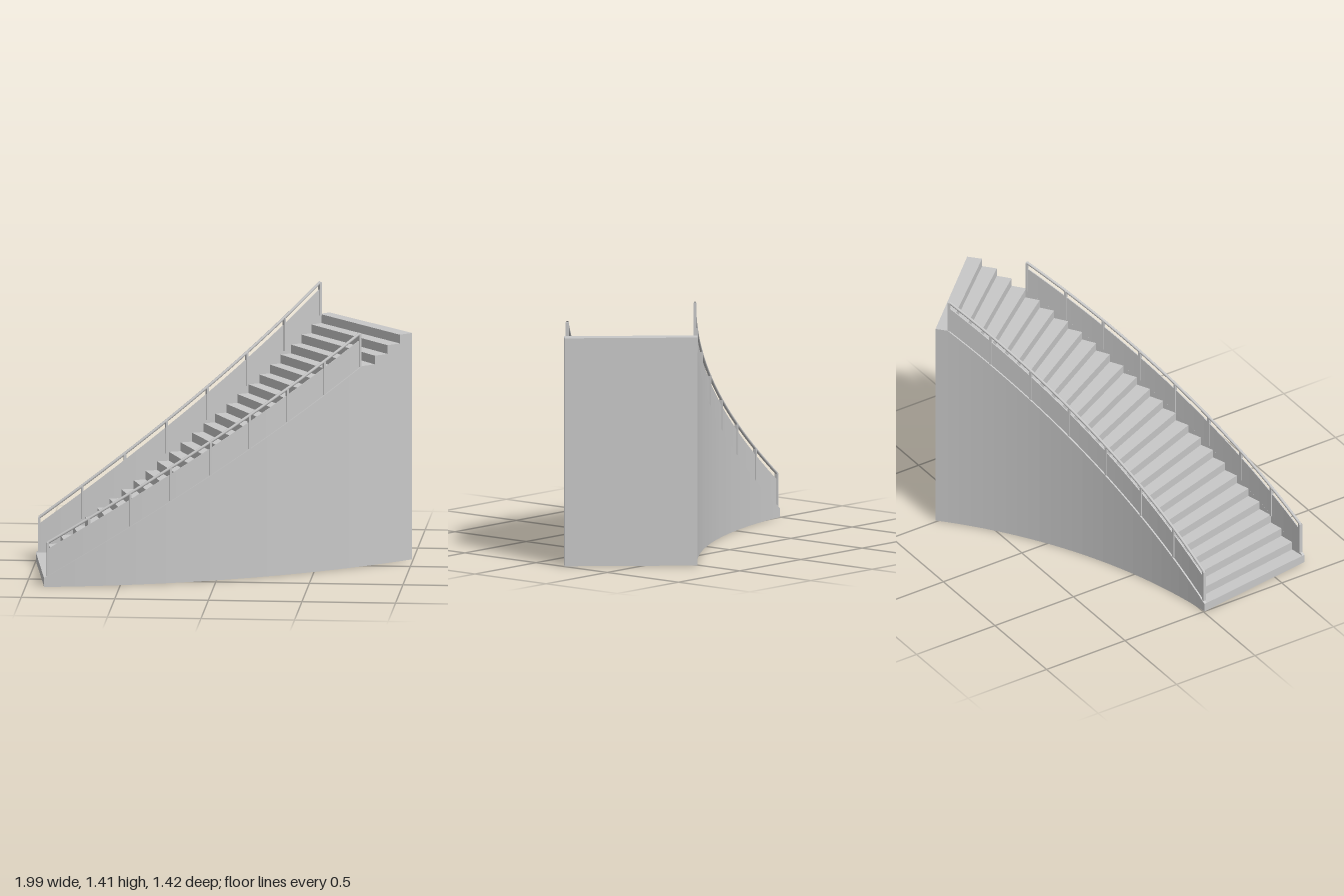
import * as THREE from 'three';

const STEPS = 26, RISE = 1.23 / STEPS;
const R_IN = 2.80, R_OUT = 3.51, WALL = 0.015;
const CX = -1.395, CZ = -2.765;
const START = THREE.MathUtils.degToRad(8.1), TURN = THREE.MathUtils.degToRad(34.8) / STEPS;

// Point at radius r, i steps along the curve, height y
function at(r, i, y) {
  const a = START + i * TURN;
  return new THREE.Vector3(CX + r * Math.sin(a), y, CZ + r * Math.cos(a));
}

// Height of the line through the step nosings
const nosing = (i) => Math.min(i + 1, STEPS) * RISE;

// Faceted surface joining successive rows of points
function loft(rows, closed) {
  const pos = [];
  const quad = (a, b, c, d) => [a, b, c, a, c, d].forEach((p) => pos.push(p.x, p.y, p.z));
  const n = rows[0].length;
  for (let k = 0; k + 1 < rows.length; k++) {
    for (let j = 0; j < (closed ? n : n - 1); j++) {
      const m = (j + 1) % n;
      quad(rows[k][j], rows[k][m], rows[k + 1][m], rows[k + 1][j]);
    }
  }
  if (closed) {
    quad(...rows[0]);
    quad(...rows[rows.length - 1]);
  }
  const g = new THREE.BufferGeometry();
  g.setAttribute('position', new THREE.Float32BufferAttribute(pos, 3));
  g.computeVertexNormals();
  return g;
}

// Rectangular section between two radii and two heights
const section = (r0, r1, i, y0, y1) => [at(r0, i, y0), at(r1, i, y0), at(r1, i, y1), at(r0, i, y1)];

// Evenly spaced values from a to b
const spread = (a, b, n) => Array.from({ length: n + 1 }, (_, k) => a + (b - a) * k / n);

export function createModel() {
  const model = new THREE.Group();
  const grey = new THREE.MeshStandardMaterial({ color: 0xc8c8c8, side: THREE.DoubleSide });
  grey.name = 'grey';
  const add = (parent, name, geometry) => {
    const mesh = new THREE.Mesh(geometry, grey);
    mesh.name = name;
    parent.add(mesh);
    return mesh;
  };

  // Treads, risers and the closing end wall as one folded sheet
  const fold = [[0, 0]];
  for (let k = 1; k <= STEPS; k++) fold.push([k - 1, k * RISE], [k, k * RISE]);
  fold.push([STEPS, 0]);
  add(model, 'steps', loft(fold.map(([i, y]) => [at(R_IN + 0.003, i, y), at(R_OUT - 0.003, i, y)])));

  // Side wall: sloped under the railing, stepped beyond it
  function sideWall(name, r0, r1, railEnd) {
    const rows = spread(0, railEnd, railEnd).map((i) => section(r0, r1, i, 0, nosing(i)));
    for (let k = railEnd + 1; k <= STEPS; k++) {
      rows.push(section(r0, r1, k - 1, 0, k * RISE), section(r0, r1, k, 0, k * RISE));
    }
    add(model, name, loft(rows, true));
  }

  // Railing: panel, handrail and posts
  function railing(name, r, railEnd, bays) {
    const group = new THREE.Group();
    group.name = name;
    const first = 0.25, last = railEnd - 0.1, height = 0.18;
    const line = spread(first, last, 28);
    add(group, 'panel', loft(line.map((i) =>
      section(r - 0.003, r + 0.003, i, nosing(i) - 0.005, nosing(i) + 0.145)), true));
    const path = new THREE.CatmullRomCurve3(line.map((i) => at(r, i, nosing(i) + height)));
    add(group, 'handrail', new THREE.TubeGeometry(path, 56, 0.008, 8));
    for (const i of spread(first, last, bays)) {
      const post = add(group, 'post', new THREE.BoxGeometry(0.012, height, 0.018));
      post.position.copy(at(r, i, nosing(i) + height / 2));
      post.rotation.y = START + i * TURN;
    }
    model.add(group);
  }

  sideWall('innerWall', R_IN, R_IN + WALL, 25);
  sideWall('outerWall', R_OUT - WALL, R_OUT, 22);
  railing('innerRailing', R_IN + 0.012, 25, 7);
  railing('outerRailing', R_OUT - 0.012, 22, 8);
  return model;
}
